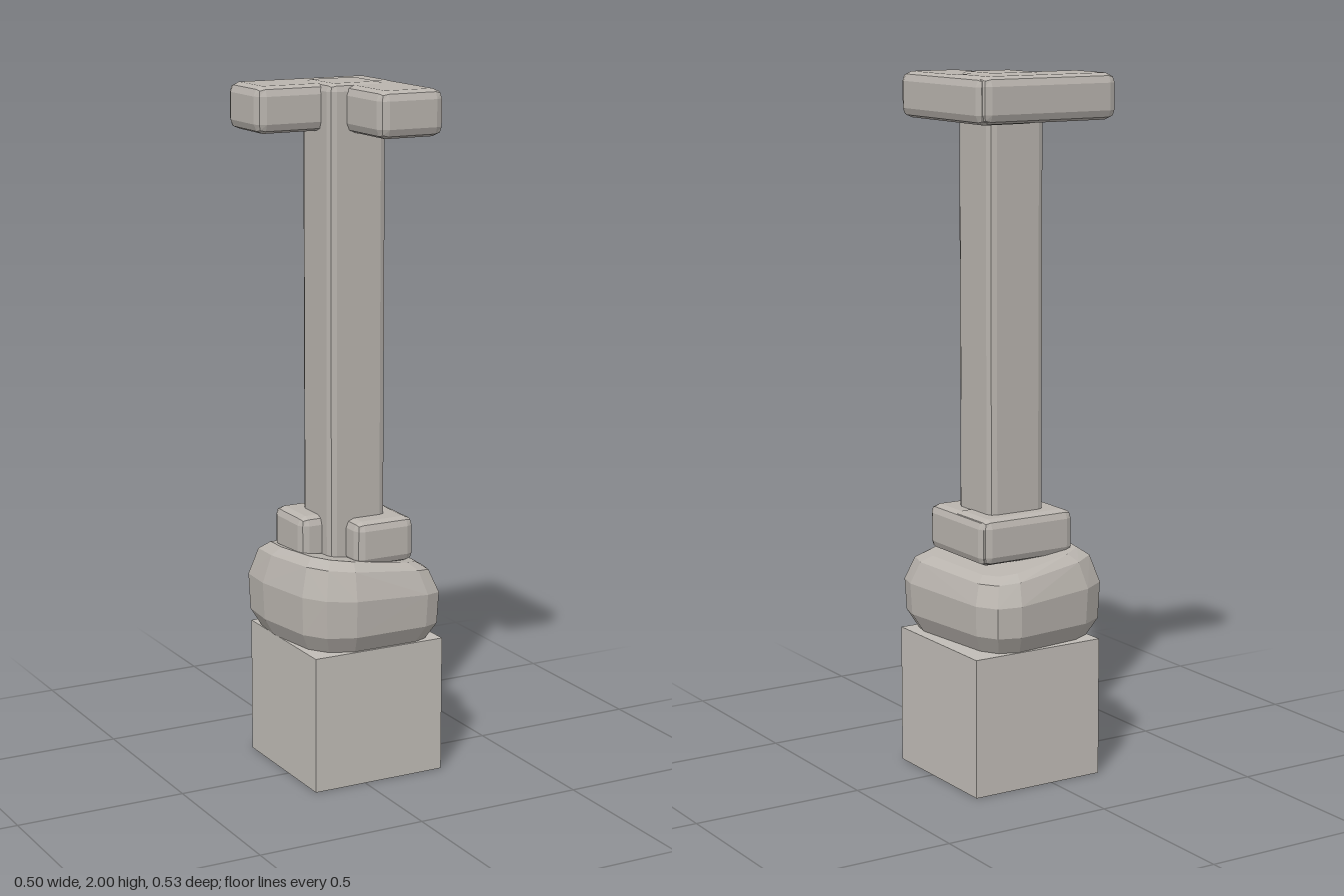
import * as THREE from 'three';
import { RoundedBoxGeometry } from 'three/addons/geometries/RoundedBoxGeometry.js';
import { ConvexGeometry } from 'three/addons/geometries/ConvexGeometry.js';

export function createModel() {
  const group = new THREE.Group();
  const paint = (name, color) => {
    const material = new THREE.MeshStandardMaterial({ color });
    material.name = name;
    return material;
  };
  const stone = paint('weathered stone', 0xb9b4ae);
  const plinthStone = paint('plain stone', 0xc1bdb7);
  const darkStone = paint('dark underside', 0x777471);

  const add = (name, geometry, material) => {
    const mesh = new THREE.Mesh(geometry, material);
    mesh.name = name;
    group.add(mesh);
  };

  // Move a box so that it fills the given limits
  const place = (geometry, ...limits) =>
    geometry.translate(...limits.map(([low, high]) => (low + high) / 2));

  // Stone block with faceted, rounded edges
  const block = (name, x, y, z, radius) => {
    const size = [x, y, z].map(([low, high]) => high - low);
    const geometry = new RoundedBoxGeometry(...size, 1, radius);
    geometry.computeVertexNormals();
    add(name, place(geometry, x, y, z), stone);
  };

  // Square plinth, dark underneath
  const sides = Array(6).fill(plinthStone);
  sides[3] = darkStone;
  add('plinth', place(new THREE.BoxGeometry(0.412, 0.4, 0.412),
    [-0.16, 0.252], [0, 0.4], [-0.239, 0.173]), sides);

  // Boulder: one outline shrunk towards the bottom and the sloping top
  const outline = [
    [-0.185, -0.205], [-0.12, -0.24], [0.12, -0.268], [0.185, -0.245],
    [0.22, -0.185], [0.252, 0.12], [0.236, 0.18], [0.19, 0.197],
    [-0.04, 0.197], [-0.12, 0.165], [-0.165, 0.1], [-0.195, -0.09],
  ];
  const rings = [ // height, scale, slope
    [0.4, 0.86, 0], [0.45, 0.98, 0], [0.55, 1, -0.05],
    [0.622, 0.89, -0.1], [0.643, 0.76, -0.11],
  ];
  const points = [];
  for (const [y, scale, slope] of rings) {
    for (const [x, z] of outline) {
      points.push(new THREE.Vector3(
        0.03 + (x - 0.03) * scale,
        y + slope * (x - 0.03 - z * 0.4),
        -0.03 + (z + 0.03) * scale
      ));
    }
  }
  add('boulder', new ConvexGeometry(points), stone);

  // L-shaped collar at the foot of the column
  block('collarSideArm', [-0.125, 0.175], [0.636, 0.768], [-0.161, 0.02], 0.025);
  block('collarFrontArm', [-0.009, 0.178], [0.634, 0.766], [-0.155, 0.141], 0.025);

  // Column
  block('column', [-0.06, 0.121], [0.55, 2], [-0.106, 0.072], 0.022);

  // L-shaped capital
  block('capitalSideArm', [-0.253, 0.187], [1.866, 1.996], [-0.18, 0.019], 0.027);
  block('capitalFrontArm', [-0.008, 0.192], [1.864, 1.994], [-0.172, 0.266], 0.027);

  return group;
}
